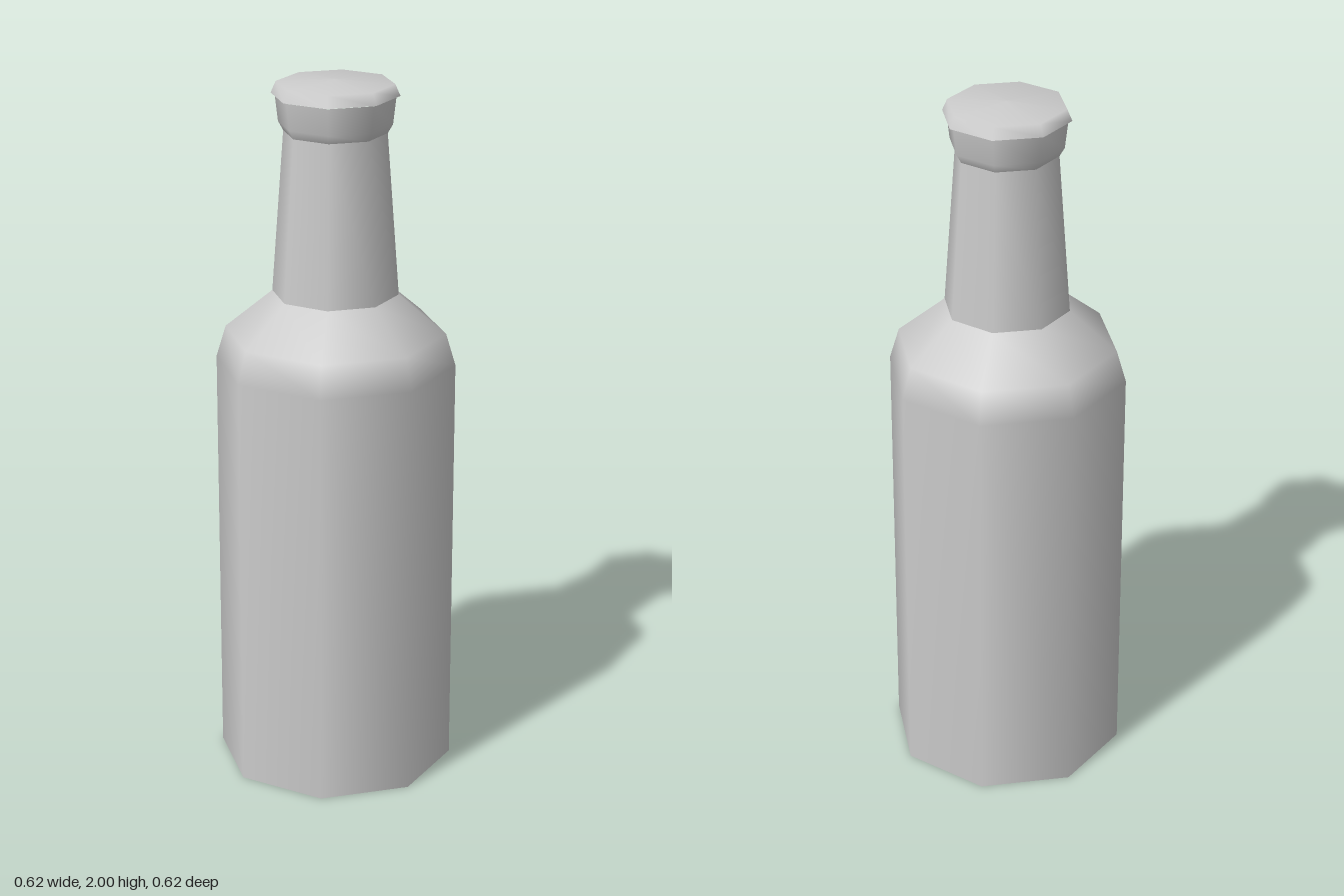
import * as THREE from 'three';

const SIDES = 8;
const FLAT = Math.cos(Math.PI / SIDES); // flat-to-flat half width over corner radius

// Eight-sided smooth shell; profile is [half width across flats, height], bottom to top
function shell(name, profile, material) {
  const points = profile.map(([w, y]) => new THREE.Vector2(w / FLAT, y));
  const mesh = new THREE.Mesh(
    new THREE.LatheGeometry(points, SIDES, Math.PI / SIDES, Math.PI * 2),
    material
  );
  mesh.name = name;
  return mesh;
}

export function createModel() {
  const model = new THREE.Group();
  model.name = 'bottle';
  const grey = new THREE.MeshStandardMaterial({ color: 0xcccccc });

  // Separate shells keep the edges between them sharp
  const parts = {
    base: [[0, 0], [0.311, 0]],
    bodyAndShoulder: [[0.311, 0], [0.311, 1.2], [0.286, 1.29], [0.163, 1.4]],
    neck: [[0.163, 1.4], [0.132, 1.855]],
    collar: [[0.132, 1.855], [0.145, 1.88], [0.153, 1.955]],
    capUnderside: [[0.13, 1.955], [0.163, 1.958]],
    cap: [[0.163, 1.958], [0.15, 1.99], [0, 2]],
  };
  for (const [name, profile] of Object.entries(parts)) {
    model.add(shell(name, profile, grey));
  }
  return model;
}
